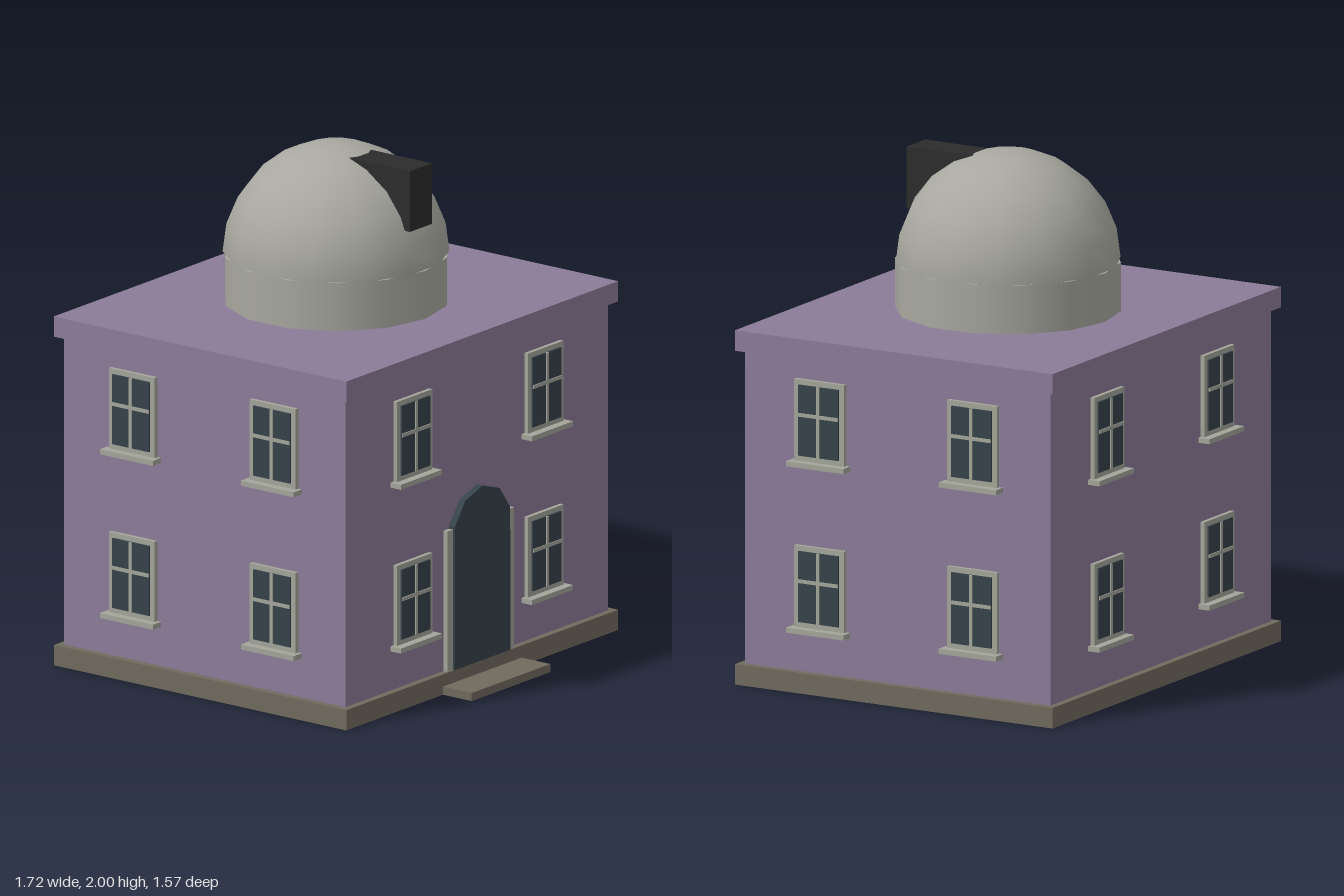
import * as THREE from 'three';

const mat = (name, color) => {
  const m = new THREE.MeshStandardMaterial({ color });
  m.name = name;
  return m;
};

export function createModel() {
  const wall = mat('purple wall', 0x8b7b98);
  const stone = mat('brown stone', 0x706a5e);
  const trim = mat('pale trim', 0xa3a499);
  const domeGrey = mat('dome grey', 0xa8a8a0);
  const glass = mat('dark glass', 0x36434a);
  const black = mat('black', 0x2c2c2d);

  const model = new THREE.Group();
  model.name = 'observatory';
  const CZ = -0.055; // building centre in z

  const add = (parent, name, geo, material, x = 0, y = 0, z = 0) => {
    const mesh = new THREE.Mesh(geo, material);
    mesh.name = name;
    mesh.position.set(x, y, z);
    parent.add(mesh);
    return mesh;
  };
  // Box given by its extents along each axis
  const box = (parent, name, material, x0, x1, y0, y1, z0, z1) =>
    add(parent, name, new THREE.BoxGeometry(x1 - x0, y1 - y0, z1 - z0), material,
      (x0 + x1) / 2, (y0 + y1) / 2, (z0 + z1) / 2);

  // Building, plinth, roof slab and step
  box(model, 'walls', wall, -0.81, 0.81, 0.08, 1.3, CZ - 0.675, CZ + 0.675);
  box(model, 'plinth', stone, -0.84, 0.84, 0, 0.08, CZ - 0.702, CZ + 0.702);
  box(model, 'roofSlab', wall, -0.84, 0.84, 1.3, 1.38, CZ - 0.702, CZ + 0.702);
  box(model, 'doorStep', stone, -0.243, 0.243, 0, 0.032, 0.6, 0.785);

  // Observatory drum, dome and telescope housing
  add(model, 'drum', new THREE.CylinderGeometry(0.43, 0.43, 0.19, 14), domeGrey, 0, 1.475, CZ);
  add(model, 'dome', new THREE.SphereGeometry(0.43, 14, 6, 0, Math.PI * 2, 0, Math.PI / 2),
    domeGrey, 0, 1.57, CZ);
  add(model, 'domeUnderside', new THREE.CircleGeometry(0.43, 14).rotateX(Math.PI / 2),
    domeGrey, 0, 1.57, CZ);
  box(model, 'telescopeHousing', black, -0.068, 0.068, 1.735, 1.975, -0.02, 0.352);

  // Arched door between two posts
  const arch = new THREE.Shape();
  arch.moveTo(-0.173, 0.08);
  arch.lineTo(0.173, 0.08);
  for (let i = 2; i >= -2; i--) {
    const a = i * Math.PI / 5;
    arch.lineTo(0.18 * Math.sin(a), 0.59 + 0.18 * Math.cos(a));
  }
  add(model, 'door', new THREE.ExtrudeGeometry(arch, { depth: 0.048, bevelEnabled: false }),
    glass, 0, 0, 0.6);
  for (const s of [-1, 1]) {
    const post = box(model, 'doorPost', trim, 0.171, 0.206, 0.08, 0.635, 0.6, 0.64);
    post.position.x *= s;
  }

  // Window with its back on z = 0, facing +z
  const makeWindow = () => {
    const w = new THREE.Group();
    w.name = 'window';
    box(w, 'windowFrame', trim, -0.11, 0.11, -0.16, 0.16, -0.01, 0.017);
    box(w, 'windowGlass', glass, -0.088, 0.088, -0.136, 0.14, 0.015, 0.024);
    box(w, 'verticalBar', trim, -0.007, 0.007, -0.136, 0.14, 0.02, 0.028);
    box(w, 'horizontalBar', trim, -0.088, 0.088, 0.017, 0.031, 0.02, 0.028);
    box(w, 'windowSill', trim, -0.127, 0.127, -0.177, -0.157, -0.01, 0.05);
    return w;
  };

  // Four windows on each wall: turn, distance to wall, half spacing
  const sides = [[0, 0.675, 0.405], [1, 0.81, 0.338], [2, 0.675, 0.405], [3, 0.81, 0.338]];
  for (const [turn, dist, half] of sides) {
    const side = new THREE.Group();
    side.name = 'wallWindows';
    side.position.z = CZ;
    side.rotation.y = turn * Math.PI / 2;
    for (const y of [0.412, 1.06]) {
      for (const x of [-half, half]) {
        const w = makeWindow();
        w.position.set(x, y, dist);
        side.add(w);
      }
    }
    model.add(side);
  }
  return model;
}
